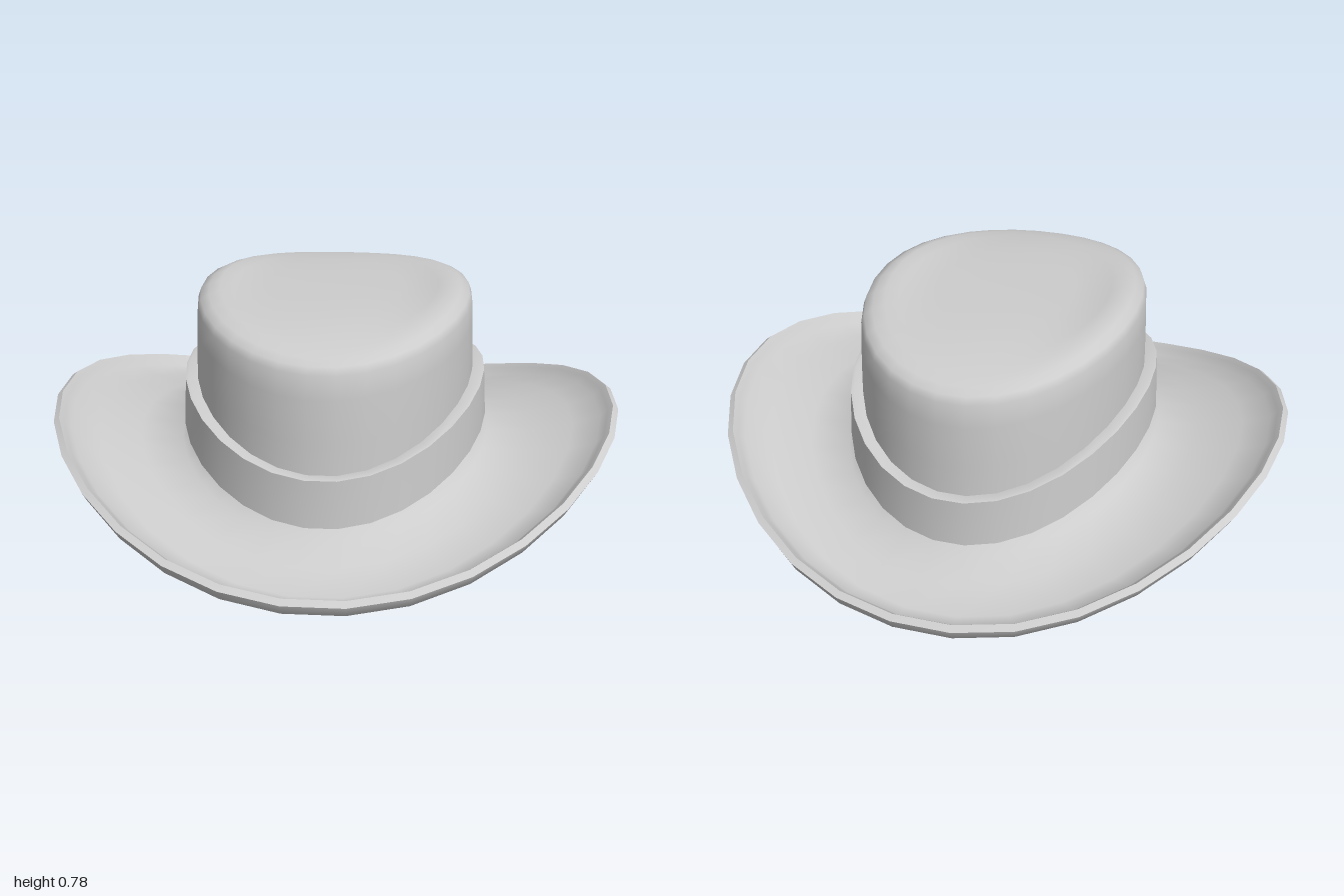
import * as THREE from 'three';
import { toCreasedNormals } from 'three/addons/utils/BufferGeometryUtils.js';

const SEGMENTS = 32;

// Skin elliptical rings [radiusX, radiusZ, heightAtSides, heightAtFrontAndBack].
// Rings run up the outside and then inward over the top.
function loft(rings, { power = 2, closed = false, crease = 0.7 } = {}) {
  const positions = [];
  const index = [];
  for (const [rx, rz, ySide, yFront] of rings) {
    for (let j = 0; j < SEGMENTS; j++) {
      const a = ((j + 0.5) / SEGMENTS) * Math.PI * 2;
      const blend = Math.pow(Math.abs(Math.cos(a)), power);
      positions.push(rx * Math.cos(a), yFront + (ySide - yFront) * blend, rz * Math.sin(a));
    }
  }
  const count = closed ? rings.length : rings.length - 1;
  for (let i = 0; i < count; i++) {
    const next = (i + 1) % rings.length;
    for (let j = 0; j < SEGMENTS; j++) {
      const k = (j + 1) % SEGMENTS;
      const a = i * SEGMENTS + j, b = i * SEGMENTS + k;
      const c = next * SEGMENTS + j, d = next * SEGMENTS + k;
      index.push(a, c, b);
      if (rings[next][0] > 0) index.push(b, c, d);
    }
  }
  const geometry = new THREE.BufferGeometry();
  geometry.setAttribute('position', new THREE.Float32BufferAttribute(positions, 3));
  geometry.setIndex(index);
  return toCreasedNormals(geometry, crease);
}

export function createModel() {
  const hat = new THREE.Group();
  hat.name = 'hat';
  const felt = new THREE.MeshStandardMaterial({ color: 0xcccccc, side: THREE.DoubleSide });
  felt.name = 'light grey felt';

  const add = (name, geometry) => {
    const mesh = new THREE.Mesh(geometry, felt);
    mesh.name = name;
    hat.add(mesh);
  };

  // Brim: underside outward, rolled rim, then the top surface back in
  add('brim', loft([
    [0.515, 0.685, 0.295, 0.155],
    [0.56, 0.72, 0.228, 0.10],
    [0.70, 0.80, 0.222, 0.035],
    [0.85, 0.90, 0.256, 0.001],
    [0.94, 0.95, 0.298, 0.003],
    [0.99, 0.99, 0.328, 0.026],
    [1.004, 1.004, 0.35, 0.06],
    [0.985, 0.985, 0.364, 0.075],
    [0.968, 0.968, 0.349, 0.06],
    [0.945, 0.945, 0.323, 0.037],
    [0.85, 0.90, 0.285, 0.032],
    [0.70, 0.80, 0.254, 0.074],
    [0.55, 0.72, 0.245, 0.133],
    [0.51, 0.68, 0.305, 0.175],
  ], { power: 2.15, closed: true, crease: 1.1 }));

  // Band: a tapered ring with a bevelled top edge and an inner wall
  add('hatBand', loft([
    [0.478, 0.655, 0.31, 0.165],
    [0.54, 0.709, 0.31, 0.165],
    [0.53, 0.707, 0.475, 0.33],
    [0.52, 0.695, 0.478, 0.333],
    [0.476, 0.653, 0.472, 0.327],
  ], { closed: true, crease: 0.5 }));

  // Crown: near-vertical wall, rounded shoulder and a flat, slightly sunken top
  add('crown', loft([
    [0.489, 0.665, 0.44, 0.30],
    [0.486, 0.663, 0.55, 0.43],
    [0.482, 0.66, 0.65, 0.58],
    [0.478, 0.655, 0.725, 0.66],
    [0.468, 0.643, 0.752, 0.685],
    [0.44, 0.61, 0.766, 0.70],
    [0.40, 0.56, 0.779, 0.714],
    [0.36, 0.49, 0.763, 0.732],
    [0.24, 0.32, 0.758, 0.752],
    [0.10, 0.14, 0.757, 0.756],
    [0, 0, 0.757, 0.757],
  ], { crease: 0.9 }));

  return hat;
}
